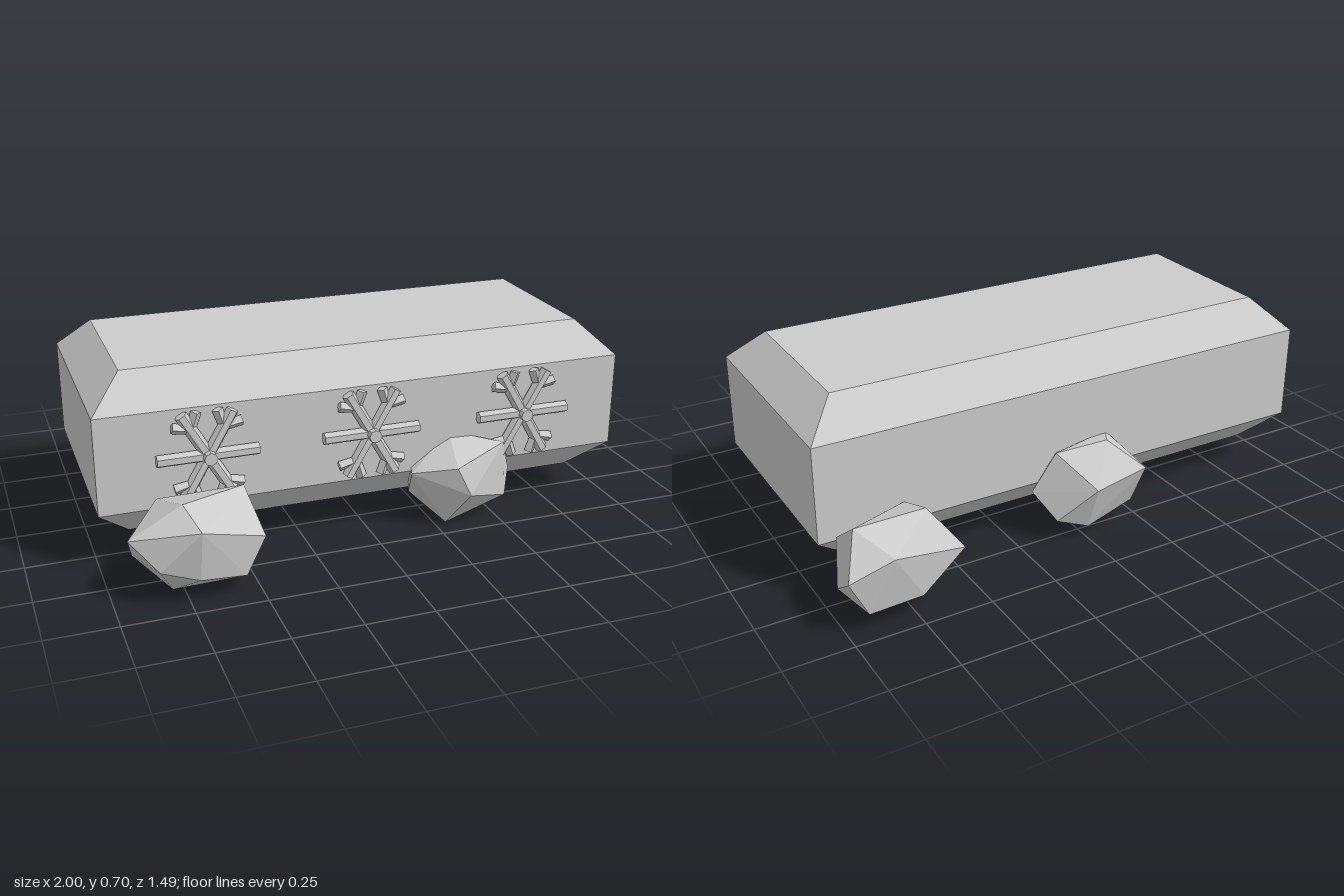
import * as THREE from 'three';
import { ConvexGeometry } from 'three/addons/geometries/ConvexGeometry.js';

const material = new THREE.MeshStandardMaterial({ color: 0xcccccc, flatShading: true });

function addMesh(parent, name, geometry) {
  const mesh = new THREE.Mesh(geometry, material);
  mesh.name = name;
  parent.add(mesh);
  return mesh;
}

// Convex solid from corner points
function hull(points) {
  return new ConvexGeometry(points.map((p) => new THREE.Vector3(...p)));
}

// Faceted bar in the XY plane, starting at (x, y) and running along an angle
function bar(parent, name, x, y, angle, length, radius, sides, endRadius = radius) {
  const geometry = new THREE.CylinderGeometry(endRadius, radius, length, sides);
  if (sides === 6) geometry.rotateY(Math.PI / 6);
  geometry.translate(0, length / 2, 0);
  const mesh = addMesh(parent, name, geometry);
  mesh.position.set(x, y, 0);
  mesh.rotation.z = angle - Math.PI / 2;
}

// Six-armed snowflake; the slanted arms carry side branches
function snowflake() {
  const flake = new THREE.Group();
  flake.name = 'snowflake';
  for (let i = 0; i < 6; i++) {
    const angle = (i * Math.PI) / 3;
    const slanted = i % 3 !== 0;
    bar(flake, 'flakeArm', 0, 0, angle, 0.182, 0.023, 6);
    if (!slanted) continue;
    const x = Math.cos(angle) * 0.115, y = Math.sin(angle) * 0.115;
    for (const side of [-1, 1]) {
      bar(flake, 'flakeBranch', x, y, angle + side * 0.82, 0.068, 0.016, 4, 0.02);
    }
  }
  const hub = addMesh(flake, 'flakeHub', new THREE.CylinderGeometry(0.024, 0.024, 0.06, 8));
  hub.rotation.x = Math.PI / 2;
  hub.position.z = 0.015;
  return flake;
}

const rocks = {
  frontRightRock: [
    [-0.94, 0.235, 0.615], [-0.75, 0.337, 0.61], [-0.5, 0.305, 0.46], [-0.46, 0.155, 0.565],
    [-0.55, 0.065, 0.665], [-0.79, 0.01, 0.58], [-0.91, 0.12, 0.5], [-0.715, 0.287, 0.74],
    [-0.8, 0.28, 0.42], [-0.72, 0.1, 0.71], [-0.6, 0.12, 0.43], [-0.48, 0.2, 0.66], [-0.85, 0.14, 0.69],
  ],
  frontLeftRock: [
    [0.15, 0.23, 0.42], [0.32, 0.353, 0.36], [0.52, 0.305, 0.42], [0.57, 0.175, 0.37],
    [0.535, 0.085, 0.42], [0.295, 0.005, 0.415], [0.18, 0.11, 0.32], [0.35, 0.15, 0.515],
    [0.3, 0.04, 0.23], [0.5, 0.06, 0.27], [0.35, 0.3, 0.2], [0.2, 0.27, 0.25], [0.3, 0.26, 0.5],
  ],
  backLeftRock: [
    [0.56, 0.2, -0.675], [0.845, 0.28, -0.745], [1, 0.22, -0.72], [1, 0.15, -0.62],
    [0.88, 0.025, -0.6], [0.94, 0.25, -0.48], [0.68, 0.3, -0.46], [0.67, 0.35, -0.61],
    [0.935, 0.355, -0.62], [0.73, 0.08, -0.7], [0.72, 0.08, -0.5], [0.93, 0.08, -0.71], [0.9, 0.1, -0.45],
  ],
  backMiddleRock: [
    [-0.29, 0.2, -0.46], [-0.215, 0.26, -0.615], [0, 0.23, -0.63], [0.18, 0.2, -0.47],
    [-0.1, 0.363, -0.525], [0.1, 0.35, -0.5], [0, 0.055, -0.57], [-0.2, 0.1, -0.55],
    [0.05, 0.035, -0.4], [-0.15, 0.045, -0.42], [0.12, 0.1, -0.55], [-0.15, 0.35, -0.44], [0, 0.25, -0.33],
  ],
  leftUnderRock: [
    [0.14, 0.025, -0.08], [0.03, 0.1, -0.03], [0.05, 0.06, -0.15], [0.2, 0.06, 0.01],
    [0.26, 0.12, -0.1], [0.18, 0.08, -0.21], [0.1, 0.08, 0.05], [0.14, 0.25, -0.07],
  ],
  rightUnderRock: [
    [-0.2, 0.03, 0], [-0.41, 0.11, 0], [-0.33, 0.06, -0.07], [-0.3, 0.055, 0.08],
    [-0.15, 0.05, 0.05], [-0.12, 0.11, -0.02], [-0.2, 0.08, -0.12], [-0.24, 0.1, 0.14], [-0.26, 0.25, 0],
  ],
};

export function createModel() {
  const model = new THREE.Group();
  model.name = 'snowBlock';

  // Block with bevelled top and bottom: [height, inset]
  const corners = [];
  for (const [y, inset] of [[0.1, 0.12], [0.225, 0], [0.585, 0], [0.705, 0.12]]) {
    for (const sx of [-1, 1]) {
      for (const sz of [-1, 1]) {
        corners.push([sx * (0.997 - inset), y, -0.0375 + sz * (0.4225 - inset)]);
      }
    }
  }
  addMesh(model, 'block', hull(corners));

  // Row of snowflakes on the front
  for (const x of [-0.607, -0.003, 0.602]) {
    const flake = snowflake();
    flake.position.set(x, 0.408, 0.4);
    model.add(flake);
  }

  // Rocks around and beneath the block
  for (const [name, points] of Object.entries(rocks)) addMesh(model, name, hull(points));

  return model;
}
